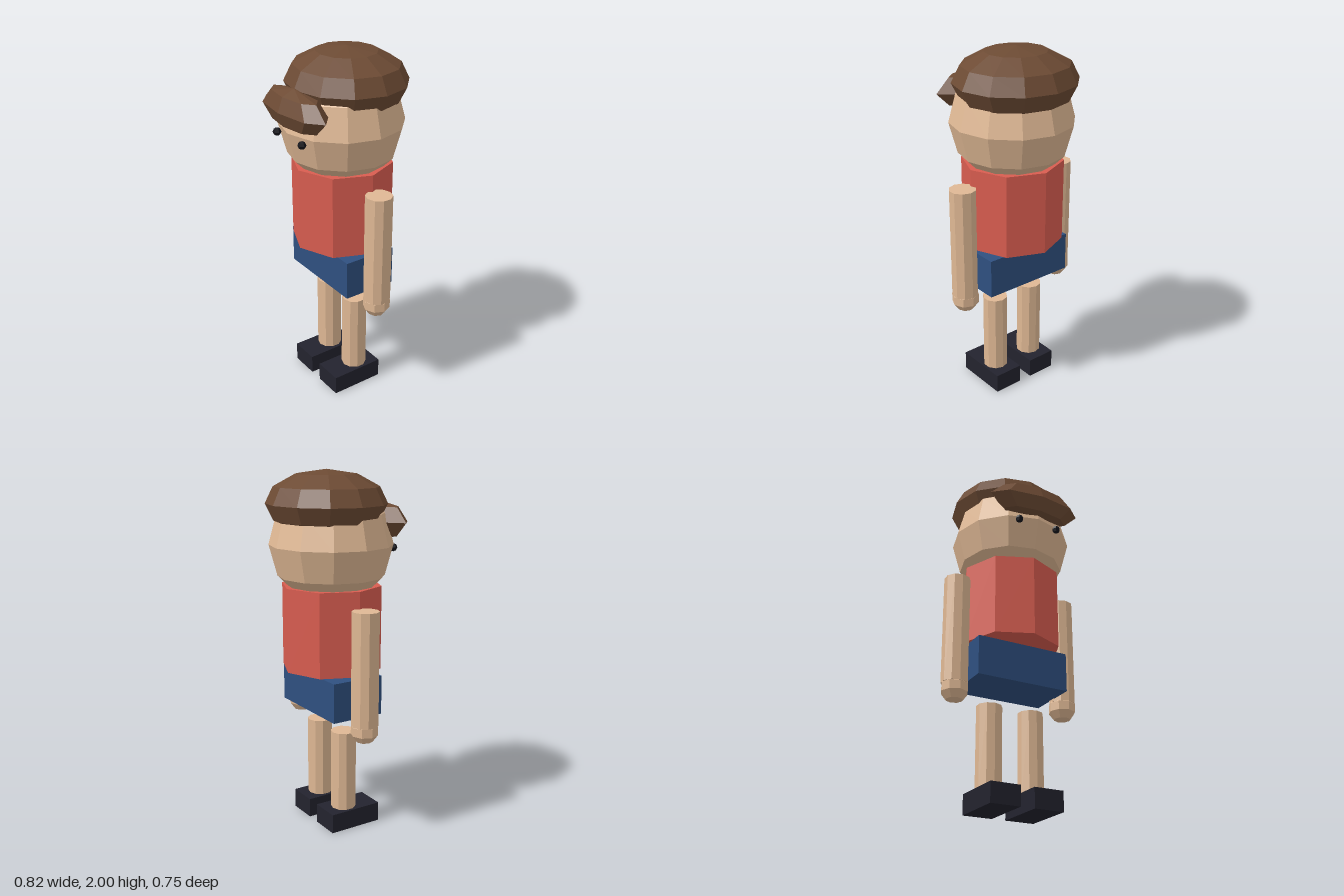
import * as THREE from 'three';

export function createModel() {
  const group = new THREE.Group();
  group.name = 'blockyFigure';

  const paint = (name, color) => {
    const m = new THREE.MeshStandardMaterial({ color, flatShading: true });
    m.name = name;
    return m;
  };
  const skin = paint('skin', 0xdfb894);
  const hair = paint('brown hair', 0x6d4b34);
  const red = paint('red shirt', 0xd95d50);
  const blue = paint('blue shorts', 0x2f5080);
  const black = paint('dark shoes', 0x23232e);
  const eyeDark = paint('dark eyes', 0x15151b);

  const add = (name, geometry, material, x, y, z) => {
    const mesh = new THREE.Mesh(geometry, material);
    mesh.name = name;
    mesh.position.set(x, y, z);
    group.add(mesh);
    return mesh;
  };
  // Low-poly ellipsoid with the scale baked in
  const ellipsoid = (rx, ry, rz, around, rows) =>
    new THREE.SphereGeometry(1, around, rows).scale(rx, ry, rz);

  const midZ = -0.02;

  // Head, hair cap and fringe
  add('head', ellipsoid(0.34, 0.34, 0.34, 12, 6), skin, 0, 1.6, midZ);
  add('hairCap', ellipsoid(0.343, 0.18, 0.325, 12, 6), hair, 0, 1.82, -0.05);
  add('fringe', ellipsoid(0.28, 0.11, 0.1, 8, 4), hair, 0, 1.72, 0.273);

  // Octagonal shirt and boxy shorts
  add('shirt', new THREE.CylinderGeometry(0.28, 0.28, 0.465, 8), red, 0, 1.148, midZ);
  add('shorts', new THREE.BoxGeometry(0.54, 0.22, 0.31), blue, 0, 0.788, midZ);

  // Mirrored limbs and eyes
  for (const [side, s] of [['left', 1], ['right', -1]]) {
    add(side + 'Eye', ellipsoid(0.023, 0.023, 0.023, 6, 4), eyeDark, s * 0.119, 1.572, 0.31);
    add(side + 'Arm', new THREE.CylinderGeometry(0.074, 0.074, 0.628, 10), skin, s * 0.335, 0.974, midZ);
    add(side + 'Hand', ellipsoid(0.079, 0.079, 0.079, 8, 5), skin, s * 0.333, 0.634, midZ);
    add(side + 'Leg', new THREE.CylinderGeometry(0.071, 0.071, 0.46, 10), skin, s * 0.126, 0.338, midZ);
    add(side + 'Shoe', new THREE.BoxGeometry(0.17, 0.11, 0.313), black, s * 0.125, 0.055, 0.012);
  }

  return group;
}
